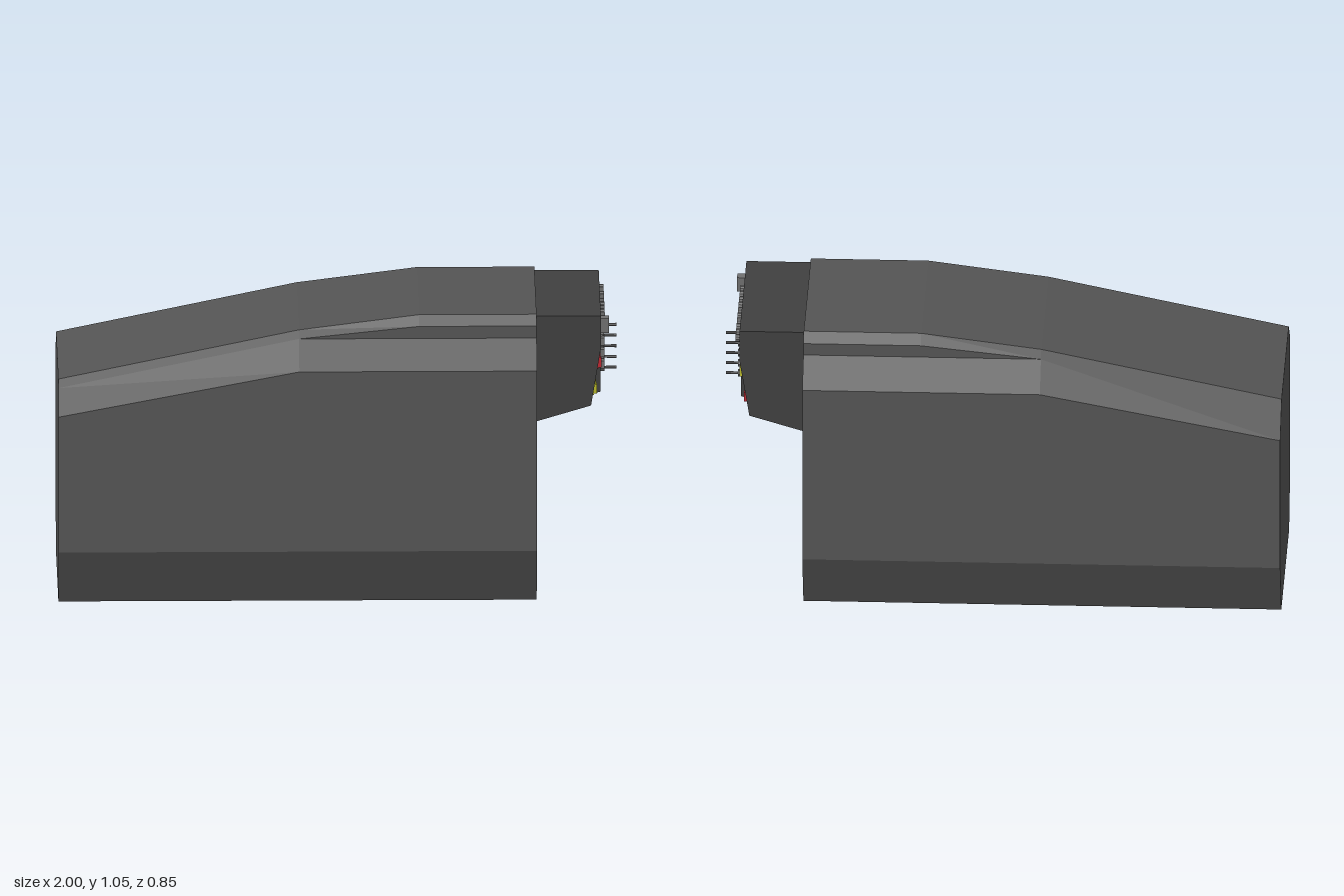
import * as THREE from 'three';

const mat = (color) => new THREE.MeshStandardMaterial({ color, flatShading: true });

// Full outline from one half, bottom to top, counterclockwise seen from +x (u = -z)
const mirrorOutline = (half) => [...half, ...half.slice().reverse().map(([u, y]) => [-u, y])];
const toShape = (pts) => new THREE.Shape(pts.map(([a, b]) => new THREE.Vector2(a, b)));

// Skin between equal-sized rings placed along x
function loft(stations) {
  const pos = [];
  const tri = (...p) => {
    if (new THREE.Triangle(...p).getArea() > 1e-7) p.forEach((v) => pos.push(v.x, v.y, v.z));
  };
  for (let i = 0; i < stations.length - 1; i++) {
    const [s, t] = [stations[i], stations[i + 1]];
    const n = s.ring.length;
    const at = (st, j) => new THREE.Vector3(st.x, st.ring[j % n][1], -st.ring[j % n][0]);
    for (let j = 0; j < n; j++) {
      tri(at(s, j), at(s, j + 1), at(t, j + 1));
      tri(at(s, j), at(t, j + 1), at(t, j));
    }
  }
  const g = new THREE.BufferGeometry();
  g.setAttribute('position', new THREE.Float32BufferAttribute(pos, 3));
  g.computeVertexNormals();
  return g;
}

export function createModel() {
  const root = new THREE.Group();
  const shell = mat(0x555555), dark = mat(0x404040), knob = mat(0x707070);
  const trim = mat(0x999999), blue = mat(0x5b8bd0), red = mat(0xc02832), yellow = mat(0xb8b82a);

  const add = (name, geo, material, x = 0, y = 0, z = 0, parent = root) => {
    const m = new THREE.Mesh(geo, material);
    m.name = name;
    m.position.set(x, y, z);
    parent.add(m);
    return m;
  };
  const box = (name, size, material, x, y, z, parent) =>
    add(name, new THREE.BoxGeometry(...size), material, x, y, z, parent);

  // Housing: side top, ledge, shoulder and roof heights change along x
  const stations = [
    [-1, 0.715, 0.795, 0.795, 0.82],
    [-0.14, 0.88, 0.975, 0.975, 1.0],
    [0.29, 0.88, 0.975, 1.02, 1.055],
    [0.71, 0.88, 0.975, 1.02, 1.055],
  ].map(([x, side, ledge, shoulder, roof]) => ({
    x,
    ring: mirrorOutline([[0.33, 0], [0.425, 0.21], [0.425, side], [0.33, ledge], [0.33, shoulder], [0.3, roof]]),
  }));
  add('housing', loft(stations), shell);

  const backOutline = stations[0].ring.filter((p, i, a) => i === 0 || p[0] !== a[i - 1][0] || p[1] !== a[i - 1][1]);
  add('rearPanel', new THREE.ShapeGeometry(toShape(backOutline)).rotateY(-Math.PI / 2), shell, -1);

  // Open end: rim, recess walls and recess floor
  const opening = mirrorOutline([[0.31, 0.035], [0.39, 0.22], [0.39, 0.865], [0.31, 0.94]]);
  const rim = toShape(stations[3].ring);
  rim.holes.push(toShape(opening));
  add('rim', new THREE.ShapeGeometry(rim).rotateY(Math.PI / 2), shell, 0.71);
  add('recessWalls', loft([{ x: 0.71, ring: opening }, { x: 0.58, ring: opening }]), shell);
  add('recessPanel', new THREE.ShapeGeometry(toShape(opening)).rotateY(Math.PI / 2), shell, 0.58);

  // Screen
  box('screenFrame', [0.02, 0.38, 0.672], trim, 0.585, 0.376, 0);
  box('screen', [0.02, 0.366, 0.644], blue, 0.59, 0.376, 0);

  // Control console: upright middle, leaning side panels
  const console_ = new THREE.Group();
  console_.name = 'controlConsole';
  root.add(console_);
  const slab = (name, profile, z, depth) =>
    add(name, new THREE.ExtrudeGeometry(toShape(profile), { depth, bevelEnabled: false }), dark, 0, 0, z, console_);
  slab('consoleMiddle', [[0.6, 0.62], [0.94, 0.722], [0.94, 1.045], [0.6, 1.045]], -0.153, 0.306);
  for (const z of [-0.29, 0.153])
    slab('consoleSide', [[0.6, 0.62], [0.905, 0.711], [0.94, 0.925], [0.94, 1.045], [0.6, 1.045]], z, 0.137);

  // Top row: one large switch and ten round buttons
  box('mainSwitch', [0.04, 0.055, 0.036], knob, 0.95, 0.993, 0.22, console_);
  const disc = new THREE.CylinderGeometry(0.0145, 0.0145, 0.025, 10).rotateZ(-Math.PI / 2);
  for (let i = 0; i < 10; i++) add('roundButton', disc, knob, 0.944, 0.993, 0.165 - i * 0.0447, console_);

  // Keypad
  for (let r = 0; r < 3; r++)
    for (let c = 0; c < 3; c++)
      box('key', [0.025, 0.028, 0.028], knob, 0.942, 0.9 - r * 0.0425, 0.112 - c * 0.0445, console_);

  // Toggle levers with hexagonal nuts
  const nut = new THREE.CylinderGeometry(0.014, 0.014, 0.025, 6).rotateZ(-Math.PI / 2);
  const lever = new THREE.CylinderGeometry(0.006, 0.004, 0.07, 8).rotateZ(-Math.PI / 2);
  for (let i = 0; i < 5; i++) {
    const y = 0.917 - i * 0.0398;
    add('toggleNut', nut, knob, 0.944, y, -0.035, console_);
    add('toggleLever', lever, knob, 0.965, y, -0.035, console_);
  }

  // Rocker switches on the leaning panels
  for (const [y, z, color] of [[0.858, 0.22, red], [0.76, 0.22, yellow], [0.858, -0.217, yellow], [0.76, -0.217, red]]) {
    const rocker = new THREE.Group();
    rocker.name = 'rockerSwitch';
    rocker.position.set(0.94 - (0.925 - y) * 0.163, y, z);
    rocker.rotation.z = -0.16;
    console_.add(rocker);
    box('rockerBase', [0.014, 0.05, 0.03], color, 0, 0, 0, rocker);
    box('rockerCap', [0.012, 0.034, 0.022], color, 0.008, -0.004, 0, rocker).rotation.z = 0.15;
  }
  return root;
}
